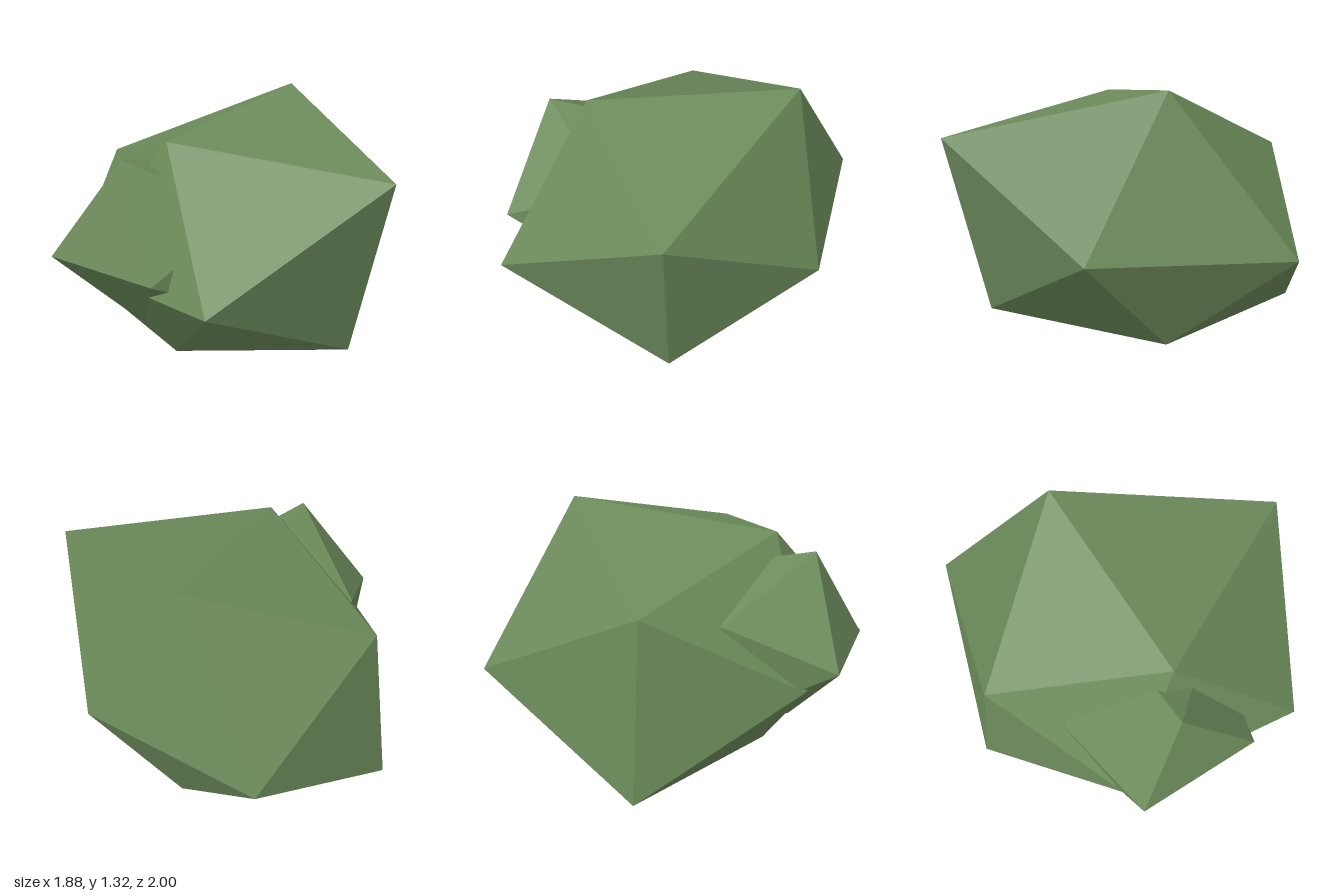
import * as THREE from 'three';

// Triangles of a twenty-sided solid
const FACES = [
  0, 11, 5, 0, 5, 1, 0, 1, 7, 0, 7, 10, 0, 10, 11,
  1, 5, 9, 5, 11, 4, 11, 10, 2, 10, 7, 6, 7, 1, 8,
  3, 9, 4, 3, 4, 2, 3, 2, 6, 3, 6, 8, 3, 8, 9,
  4, 9, 5, 2, 4, 11, 6, 2, 10, 8, 6, 7, 9, 8, 1,
];

// Irregular faceted boulder from twelve corners
function makeRock(name, corners, material) {
  const indexed = new THREE.BufferGeometry();
  indexed.setAttribute('position', new THREE.Float32BufferAttribute(corners.flat(), 3));
  indexed.setIndex(FACES);
  const geometry = indexed.toNonIndexed();
  geometry.computeVertexNormals();
  const mesh = new THREE.Mesh(geometry, material);
  mesh.name = name;
  return mesh;
}

export function createModel() {
  const group = new THREE.Group();
  group.name = 'mossyRocks';
  const mossGreen = new THREE.MeshStandardMaterial({ color: 0x6b8a5a });
  mossGreen.name = 'mossGreen';
  mossGreen.flatShading = true;

  // Large boulder with a flattened base
  group.add(makeRock('largeBoulder', [
    [-0.51, 1.19, -0.05], [0.62, 1.32, -0.05], // upper ridge
    [-0.46, 0.005, -0.05], [0.62, 0, -0.05], // base ridge
    [0, 0.07, 0.76], [0, 1.03, 1], // front
    [0, 0, -1], [0, 0.92, -0.88], // back
    [0.94, 0.49, -0.63], [0.77, 0.49, 0.42], // +x side
    [-0.76, 0.49, -0.52], [-0.92, 0.49, 0.52], // -x side
  ], mossGreen));

  // Small boulder embedded in the -x side
  group.add(makeRock('smallBoulder', [
    [-0.735, 1.125, -0.155], [-0.05, 0.99, -0.155],
    [-0.615, 0.21, -0.155], [-0.05, 0.2, -0.155],
    [-0.355, 0.32, 0.37], [-0.355, 0.84, 0.31],
    [-0.355, 0.33, -0.6], [-0.35, 0.83, -0.62],
    [0.15, 0.59, -0.46], [0.15, 0.59, 0.15],
    [-0.92, 0.59, -0.5], [-0.945, 0.59, 0.21],
  ], mossGreen));

  return group;
}
